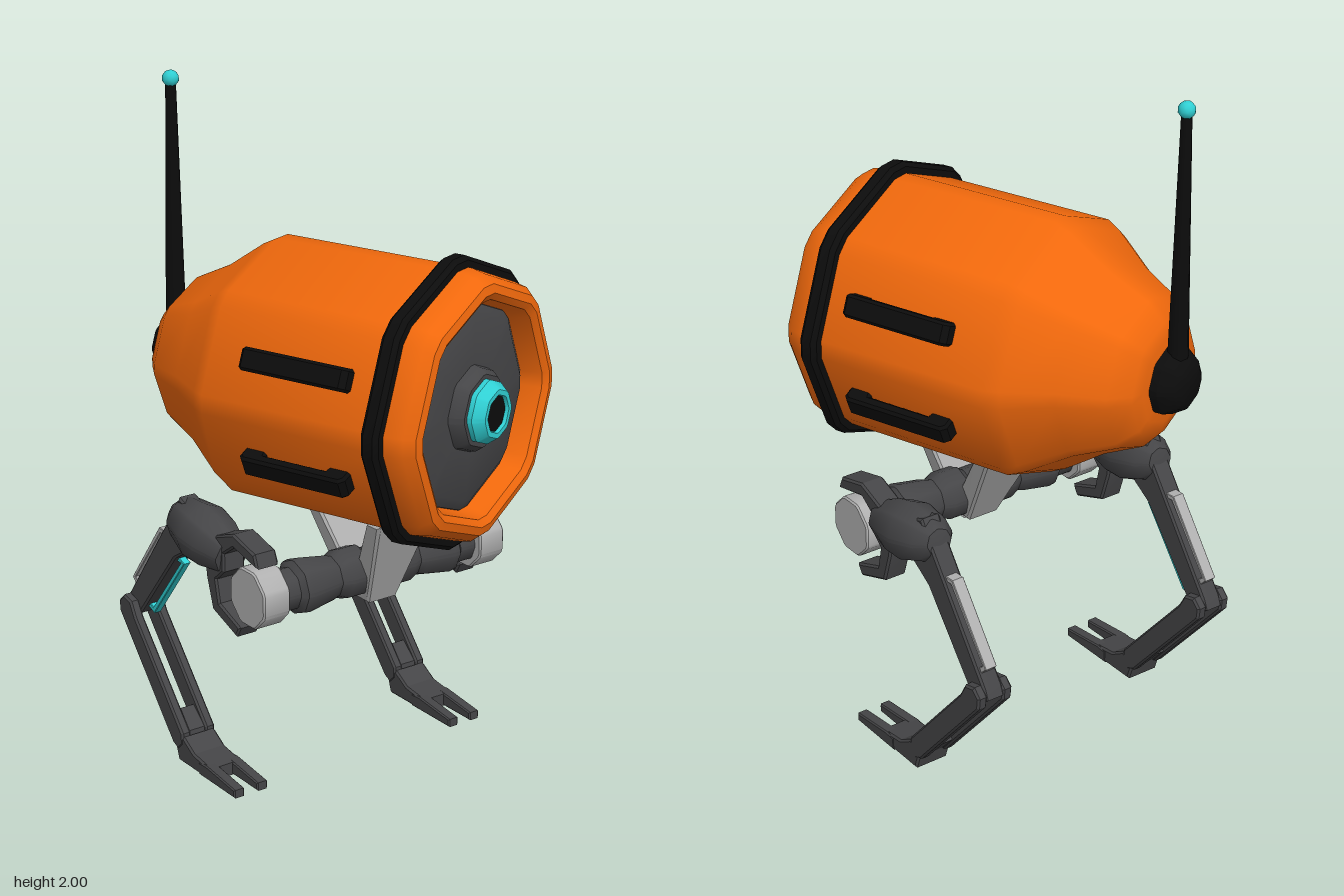
import * as THREE from 'three';
import { toCreasedNormals } from 'three/addons/utils/BufferGeometryUtils.js';

const mat = (color) => new THREE.MeshStandardMaterial({ color, side: THREE.DoubleSide });
const orange = mat(0xf0680c), black = mat(0x0c0c0c), dark = mat(0x454547);
const light = mat(0xb0b0b0), cyan = mat(0x30d0d4);

function add(parent, name, geometry, material) {
  const mesh = new THREE.Mesh(geometry, material);
  mesh.name = name;
  parent.add(mesh);
  return mesh;
}

// Eight-sided turned form along y with softened corners; profile holds [radius, height]
function octagonal(profile, soft = 0.07) {
  const geo = new THREE.LatheGeometry(profile.map(([r, h]) => new THREE.Vector2(r, h)), 16, Math.PI / 16);
  const p = geo.attributes.position;
  for (let i = 0; i < p.count; i++) {
    const x = p.getX(i), z = p.getZ(i), r = Math.hypot(x, z);
    const a = Math.atan2(x, z), corner = Math.round(a / (Math.PI / 4)) * Math.PI / 4;
    const b = corner + Math.sign(a - corner) * soft;
    p.setXYZ(i, r * Math.sin(b), p.getY(i), r * Math.cos(b));
  }
  return toCreasedNormals(geo, 0.6);
}
const alongZ = (profile) => octagonal(profile).rotateX(Math.PI / 2);
const alongX = (profile) => octagonal(profile).rotateZ(-Math.PI / 2);

// Plate drawn in side view as [z, y] points, given a thickness in x
function plate(points, width, bevel = 0.006) {
  const shape = new THREE.Shape(points.map(([z, y]) => new THREE.Vector2(z, y)));
  const depth = width - 2 * bevel;
  const geo = new THREE.ExtrudeGeometry(shape, {
    depth, bevelEnabled: bevel > 0, bevelSize: bevel, bevelThickness: bevel, bevelOffset: -bevel, bevelSegments: 1,
  });
  return toCreasedNormals(geo.translate(0, 0, -depth / 2).rotateY(-Math.PI / 2), 0.4);
}

function createHead() {
  const head = new THREE.Group();
  head.name = 'head';
  head.position.set(-0.048, 1.18, 0);
  head.rotation.y = THREE.MathUtils.degToRad(20);

  add(head, 'headShell', alongZ([
    [0, -0.54], [0.13, -0.535], [0.17, -0.525], [0.225, -0.475], [0.285, -0.35], [0.37, -0.225], [0.392, -0.18],
    [0.392, 0.43], [0.382, 0.475], [0.36, 0.502], [0.335, 0.508], [0.315, 0.495], [0.3, 0.42],
  ]), orange);
  add(head, 'headBand', alongZ([
    [0.38, 0.36], [0.412, 0.362], [0.424, 0.375], [0.424, 0.405], [0.412, 0.418], [0.38, 0.42],
  ]), black);

  // Recessed face and eye
  add(head, 'facePlate', alongZ([
    [0.305, 0.42], [0.3, 0.432], [0.27, 0.45], [0.125, 0.455], [0.12, 0.475], [0.105, 0.495], [0, 0.495],
  ]), dark);
  add(head, 'eyeRing', alongZ([
    [0.092, 0.49], [0.092, 0.51], [0.07, 0.54], [0.055, 0.54], [0.05, 0.515],
  ]), cyan);
  add(head, 'pupil', alongZ([[0.055, 0.515], [0.052, 0.53], [0, 0.532]]), black);

  // Grab handles, two on each side
  const bar = [
    [-0.06, 0.35], [-0.06, 0.4], [-0.045, 0.415], [0.275, 0.415], [0.29, 0.4], [0.29, 0.35],
    [0.225, 0.35], [0.215, 0.38], [0.015, 0.38], [0.005, 0.35],
  ];
  for (const side of [-1, 1]) {
    for (const level of [-1, 1]) {
      const handle = add(head, 'sideHandle', plate(bar, 0.066, 0.008), black);
      handle.rotation.z = -side * (Math.PI / 2 - level * Math.PI / 8);
    }
  }

  // Aerial on the back
  add(head, 'aerialBase', alongZ([
    [0, -0.615], [0.055, -0.612], [0.075, -0.6], [0.1, -0.56], [0.1, -0.51],
  ]), black);
  const mast = add(head, 'aerial', new THREE.CylinderGeometry(0.015, 0.032, 0.8, 8), black);
  mast.position.set(0, 0.4, -0.566);
  const tip = add(head, 'aerialTip', new THREE.IcosahedronGeometry(0.025, 1), cyan);
  tip.position.set(0, 0.797, -0.566);
  return head;
}

// Arm of the neck fork: a box tapering in x toward its lower end
function neckArm(top, bottom) {
  const geo = plate([
    [top[0] - 0.03, top[1]], [top[0] + 0.03, top[1]],
    [bottom[0] + 0.045, bottom[1]], [bottom[0] - 0.045, bottom[1]],
  ], 0.2, 0.008);
  const p = geo.attributes.position;
  for (let i = 0; i < p.count; i++) {
    const t = THREE.MathUtils.clamp((p.getY(i) - 0.55) / 0.2, 0, 1);
    p.setX(i, p.getX(i) * (0.5 + 0.5 * t));
  }
  geo.deleteAttribute('normal');
  return toCreasedNormals(geo, 0.4);
}

function createLeg() {
  const leg = new THREE.Group();
  leg.name = 'leg';

  // Hip joint and the clamp around it
  const joint = add(leg, 'hipJoint', alongX([[0, -0.055], [0.085, -0.055], [0.09, -0.05], [0.09, 0.03], [0.085, 0.035], [0, 0.035]]), light);
  joint.position.set(0, 0.64, 0.115);
  joint.rotation.x = Math.PI / 8;
  add(leg, 'hipClamp', plate([
    [0.17, 0.745], [0.155, 0.785], [0.05, 0.812], [-0.05, 0.775], [-0.1, 0.72], [-0.09, 0.64], [-0.06, 0.545],
    [0.06, 0.502], [0.08, 0.535], [-0.025, 0.575], [-0.04, 0.645], [0, 0.68], [0.0, 0.735], [0.05, 0.77],
  ], 0.075), dark);

  // Thigh
  const knuckle = add(leg, 'thighKnuckle', alongZ([
    [0, -0.15], [0.04, -0.145], [0.068, -0.11], [0.088, -0.02], [0.08, 0.05], [0.055, 0.13], [0, 0.135],
  ]), dark);
  knuckle.position.set(0, 0.74, -0.14);
  knuckle.rotation.x = 0.18;
  add(leg, 'thigh', plate([
    [-0.16, 0.8], [-0.24, 0.83], [-0.265, 0.79], [-0.535, 0.425], [-0.547, 0.395], [-0.52, 0.375],
    [-0.47, 0.385], [-0.27, 0.63], [-0.19, 0.68],
  ], 0.062), dark);
  add(leg, 'rearRod', plate([
    [-0.325, 0.69], [-0.37, 0.692], [-0.527, 0.483], [-0.495, 0.45], [-0.485, 0.468],
    [-0.51, 0.487], [-0.363, 0.677], [-0.335, 0.675],
  ], 0.038, 0.002), light);
  add(leg, 'frontRod', plate([
    [-0.29, 0.63], [-0.247, 0.615], [-0.42, 0.398], [-0.465, 0.415], [-0.455, 0.43],
    [-0.425, 0.416], [-0.266, 0.612], [-0.295, 0.612],
  ], 0.024, 0.002), cyan);

  // Shin: two rails joined at the ankle
  for (const side of [-1, 1]) {
    const rail = add(leg, 'shinRail', plate([
      [-0.48, 0.425], [-0.52, 0.435], [-0.547, 0.41], [-0.543, 0.375], [-0.26, 0.048], [-0.23, 0.035],
      [-0.205, 0.06], [-0.207, 0.095], [-0.455, 0.38],
    ], 0.032), dark);
    rail.position.x = side * 0.042;
  }
  add(leg, 'shinBridge', plate([[-0.272, 0.145], [-0.3, 0.105], [-0.25, 0.05], [-0.21, 0.06], [-0.215, 0.095]], 0.07, 0.004), dark);
  const pin = add(leg, 'kneePin', new THREE.CylinderGeometry(0.025, 0.025, 0.1, 8).rotateZ(Math.PI / 2), dark);
  pin.position.set(0, 0.4, -0.51);

  // Forked foot
  add(leg, 'footHeel', plate([
    [-0.06, 0], [-0.06, 0.04], [-0.15, 0.052], [-0.205, 0.085], [-0.25, 0.055], [-0.232, 0],
  ], 0.112), dark);
  for (const side of [-1, 1]) {
    const toe = add(leg, 'toe', plate([[0.07, 0], [0.07, 0.026], [-0.08, 0.043], [-0.12, 0.04], [-0.12, 0]], 0.036, 0.004), dark);
    toe.position.x = side * 0.04;
  }
  return leg;
}

export function createModel() {
  const model = new THREE.Group();
  model.name = 'walkerRobot';
  model.add(createHead());

  const lower = new THREE.Group();
  lower.name = 'lowerBody';
  lower.position.x = -0.008;
  model.add(lower);

  // Neck fork and hip axle
  add(lower, 'frontNeckArm', neckArm([0.26, 0.83], [0.13, 0.55]), light);
  add(lower, 'rearNeckArm', neckArm([-0.08, 0.85], [0.1, 0.56]), light);
  const half = [[0.06, 0.03], [0.075, 0.05], [0.075, 0.11], [0.062, 0.14], [0.068, 0.16], [0.083, 0.25], [0.08, 0.27], [0.063, 0.285], [0.063, 0.35]];
  const axle = add(lower, 'hipAxle', alongX([
    ...half.map(([r, x]) => [r, -x]).reverse(), ...half,
  ]), dark);
  axle.position.set(0, 0.635, 0.115);

  // Mirrored legs
  for (const side of [-1, 1]) {
    const leg = createLeg();
    leg.position.x = side * 0.393;
    if (side < 0) leg.getObjectByName('hipJoint').position.x = 0.02;
    lower.add(leg);
  }
  return model;
}
